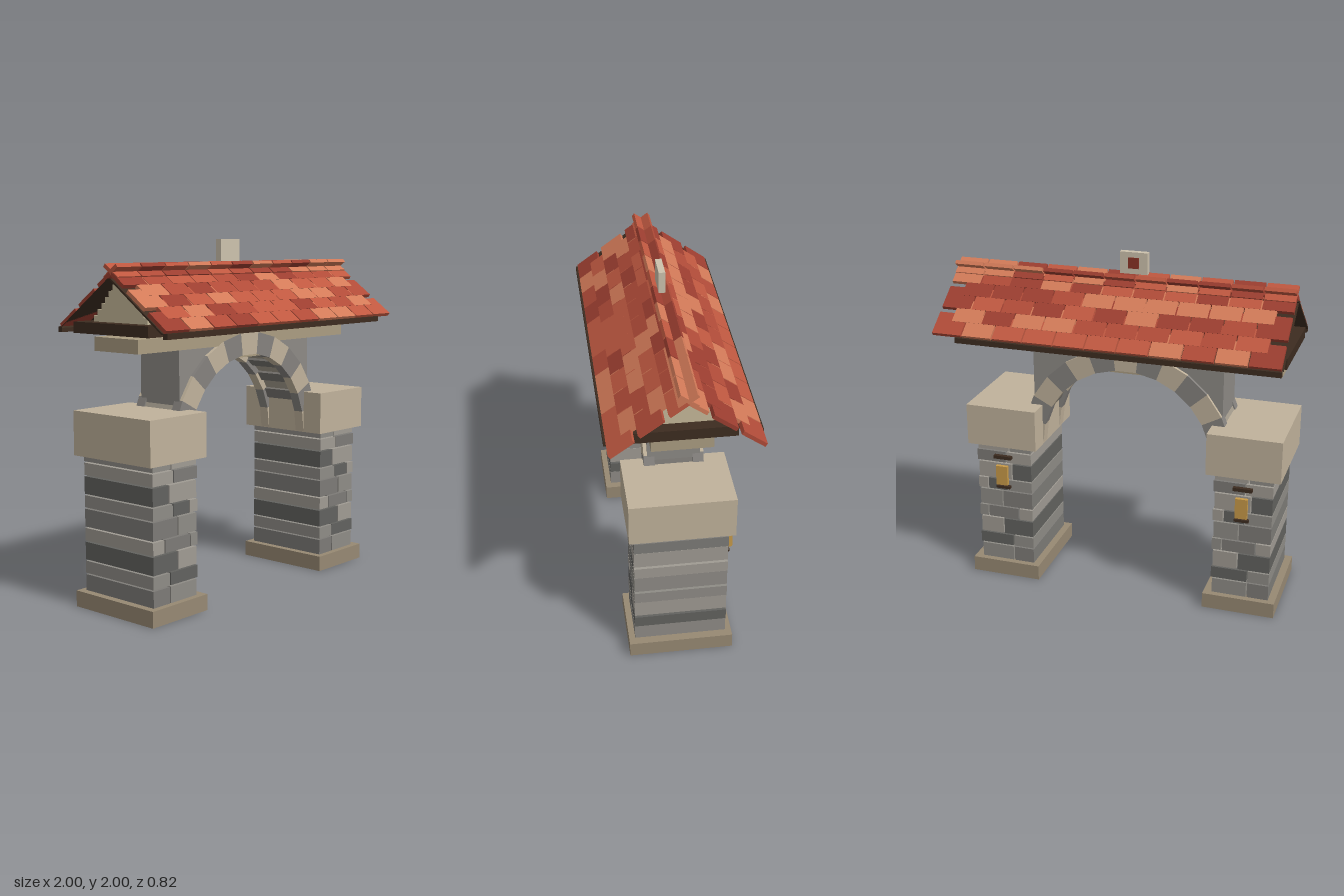
import * as THREE from 'three';

const CX = -0.07; // middle of the gateway
const mats = {};
const mat = (c) => (mats[c] ??= new THREE.MeshStandardMaterial({ color: c, flatShading: true }));
const TAN = 0xc0b29b, TAN_DARK = 0x978973, LINTEL = 0xab9d82, GREY = 0x8d8a85;
const WOOD = 0x3d2c20, GOLD = 0xc89a48;
const STONES = [0x62625f, 0x7d7b77, 0x8f8c86, 0xa09b93];
const TILES = [0x9c3e30, 0xb04b38, 0xbf5840, 0xd27a58];

// repeatable random numbers
let seed = 7;
const rand = () => (seed = (seed * 16807) % 2147483647) / 2147483647;
const pick = (list) => list[Math.floor(rand() * list.length)];

function add(parent, name, geometry, color) {
  const m = new THREE.Mesh(geometry, mat(color));
  m.name = name;
  parent.add(m);
  return m;
}

// box given by its limits on each axis
function box(parent, name, color, x0, x1, y0, y1, z0, z1) {
  const m = add(parent, name, new THREE.BoxGeometry(x1 - x0, y1 - y0, z1 - z0), color);
  m.position.set((x0 + x1) / 2, (y0 + y1) / 2, (z0 + z1) / 2);
  return m;
}

function group(parent, name) {
  const g = new THREE.Group();
  g.name = name;
  parent.add(g);
  return g;
}

// courses of a pillar: bottom, top, inner joints, stone colours
const COURSES = [
  [0.085, 0.18, [0.13], [1, 2]],
  [0.188, 0.256, [0.13], [2, 0]],
  [0.264, 0.362, [0.19], [0, 3]],
  [0.37, 0.44, [0.09, 0.285], [3, 1, 2]],
  [0.448, 0.547, [0.19], [1, 2]],
  [0.555, 0.622, [0.155, 0.28], [2, 0, 3]],
  [0.63, 0.727, [0.125], [0, 3]],
  [0.735, 0.802, [0.16], [3, 1]],
  [0.81, 0.845, [0.14], [2, 3]],
];

function pillar(parent, name, cx) {
  const p = group(parent, name);
  p.position.x = cx;
  box(p, 'plinth', TAN_DARK, -0.21, 0.21, 0, 0.09, -0.295, 0.295);
  COURSES.forEach(([y0, y1, joints, colors], row) => {
    const cuts = [0, ...joints, row % 2 ? 0.338 : 0.33];
    colors.forEach((c, i) => {
      const gap = i < colors.length - 1 ? 0.007 : 0;
      box(p, 'pillarStone', STONES[c], cuts[i] - 0.168, cuts[i + 1] - gap - 0.168, y0, y1, -0.26, 0.26);
    });
  });
  box(p, 'capStone', TAN, -0.212, 0.212, 0.845, 1.09, -0.29, 0.29);
  // lantern on the back
  const lamp = group(p, 'lantern');
  box(lamp, 'lanternGlass', GOLD, -0.035, 0.035, 0.61, 0.73, -0.308, -0.286);
  box(lamp, 'lanternTop', WOOD, -0.055, 0.055, 0.768, 0.788, -0.292, -0.268);
  box(lamp, 'lanternFoot', WOOD, -0.042, 0.042, 0.58, 0.595, -0.292, -0.268);
}

// one wedge stone of the arch
function wedge(r0, r1, a0, a1, depth) {
  const s = new THREE.Shape();
  const pt = (r, a) => new THREE.Vector2(r * Math.cos(a), r * Math.sin(a));
  s.setFromPoints([pt(r0, a0), pt(r1, a0), pt(r1, a1), pt(r0, a1)]);
  return new THREE.ExtrudeGeometry(s, { depth, bevelEnabled: false });
}

function arch(parent) {
  const g = group(parent, 'arch');
  g.position.set(CX, 0.85, 0);
  const N = 13, step = Math.PI / N;
  for (let i = 0; i < N; i++) {
    const color = i % 2 ? 0x85827e : TAN;
    for (const z of [-0.165, 0.105]) {
      add(g, 'archStone', wedge(0.505, 0.63, i * step, (i + 1) * step, 0.06), color).position.z = z;
    }
  }
  // set-back stones between the two rings
  for (let i = 0; i < 2 * N; i++) {
    const color = i % 2 ? 0x77746f : 0xa39b8c;
    const r = i % 2 ? 0.525 : 0.54;
    add(g, 'soffitStone', wedge(r, 0.62, i * step / 2, (i + 1) * step / 2, 0.21), color).position.z = -0.105;
  }
  // wall above the arch
  const s = new THREE.Shape();
  const a = Math.asin(0.24 / 0.57);
  s.moveTo(0.56, 0.23).lineTo(0.56, 0.58).lineTo(-0.56, 0.58).lineTo(-0.56, 0.23);
  s.absarc(0, 0, 0.575, Math.PI - a, a, true);
  const wall = new THREE.ExtrudeGeometry(s, { depth: 0.29, bevelEnabled: false, curveSegments: 24 });
  add(g, 'spandrelWall', wall, GREY).position.z = -0.145;
  box(g, 'keystone', LINTEL, -0.1, 0.1, 0.49, 0.648, -0.16, 0.16);
}

const PITCH = Math.atan2(0.27, 0.375);
const ROWS = 6, TILE_W = 0.181, RUN = 0.075 / Math.cos(PITCH), X0 = -0.99;

// one roof slope in its own frame: local z runs down from the ridge
function slope(parent, side) {
  const face = group(parent, side > 0 ? 'frontSlope' : 'backSlope');
  face.position.y = 1.818;
  face.rotation.y = side > 0 ? 0 : Math.PI;
  const s = group(face, 'slopeTiles');
  s.rotation.x = PITCH;
  const len = 0.39 / Math.cos(PITCH);
  box(s, 'roofDeck', WOOD, -0.995 * side, 0.855 * side, -0.018, -0.008, 0.02, len - 0.01)
    .scale.set(side, 1, 1);
  for (let row = 0; row < ROWS; row++) {
    const odd = row % 2;
    const z1 = len - row * RUN;
    const z0 = Math.max(z1 - 1.62 * RUN, 0);
    for (let i = 0; i < 11 - odd; i++) {
      const x = X0 + (i + 0.5 + odd / 2) * TILE_W;
      const t = add(s, 'roofTile', new THREE.BoxGeometry(TILE_W - 0.008, 0.022, z1 - z0), pick(TILES));
      t.position.set(x * side, 0.003 + row * 0.001, (z0 + z1) / 2);
    }
  }
}

function roof(parent) {
  const r = group(parent, 'roof');
  // ceiling board and stepped gables
  box(r, 'ceilingBoard', WOOD, -0.995, 0.855, 1.507, 1.567, -0.28, 0.28);
  const STEPS = 7;
  for (let i = 0; i < STEPS; i++) {
    const h = 0.2 - i * 0.029, y = 1.567 + i * 0.033;
    for (const x of [-0.92, 0.74]) box(r, 'gableStep', 0xc6b999, x, x + 0.05, y, y + 0.033, -h, h);
  }
  for (const side of [1, -1]) {
    slope(r, side);
    const eave = box(r, 'eaveBeam', WOOD, -0.99, 0.855, 1.505, 1.535, -0.015, 0.015);
    eave.position.z = side * 0.393;
  }
  // crossed ridge tiles
  for (let i = 0; i < 11; i++) {
    for (const side of [1, -1]) {
      const t = add(r, 'ridgeTile', new THREE.BoxGeometry(TILE_W - 0.009, 0.022, 0.115), pick(TILES));
      t.position.set(X0 + (i + 0.5) * TILE_W, 1.834, 0);
      t.rotation.x = side * PITCH;
    }
  }
  // plaque above the ridge
  box(r, 'ridgePlaque', 0xcdc2ad, -0.15, 0.01, 1.877, 2, -0.018, 0.018);
  box(r, 'plaqueInset', 0x8a3426, -0.1, -0.04, 1.908, 1.97, -0.022, -0.012);
}

export function createModel() {
  const model = new THREE.Group();
  model.name = 'gateway';
  pillar(model, 'rightPillar', -0.787);
  pillar(model, 'leftPillar', 0.648);
  arch(model);
  box(model, 'lintel', LINTEL, -0.953, 0.813, 1.415, 1.49, -0.163, 0.163);
  roof(model);
  return model;
}
